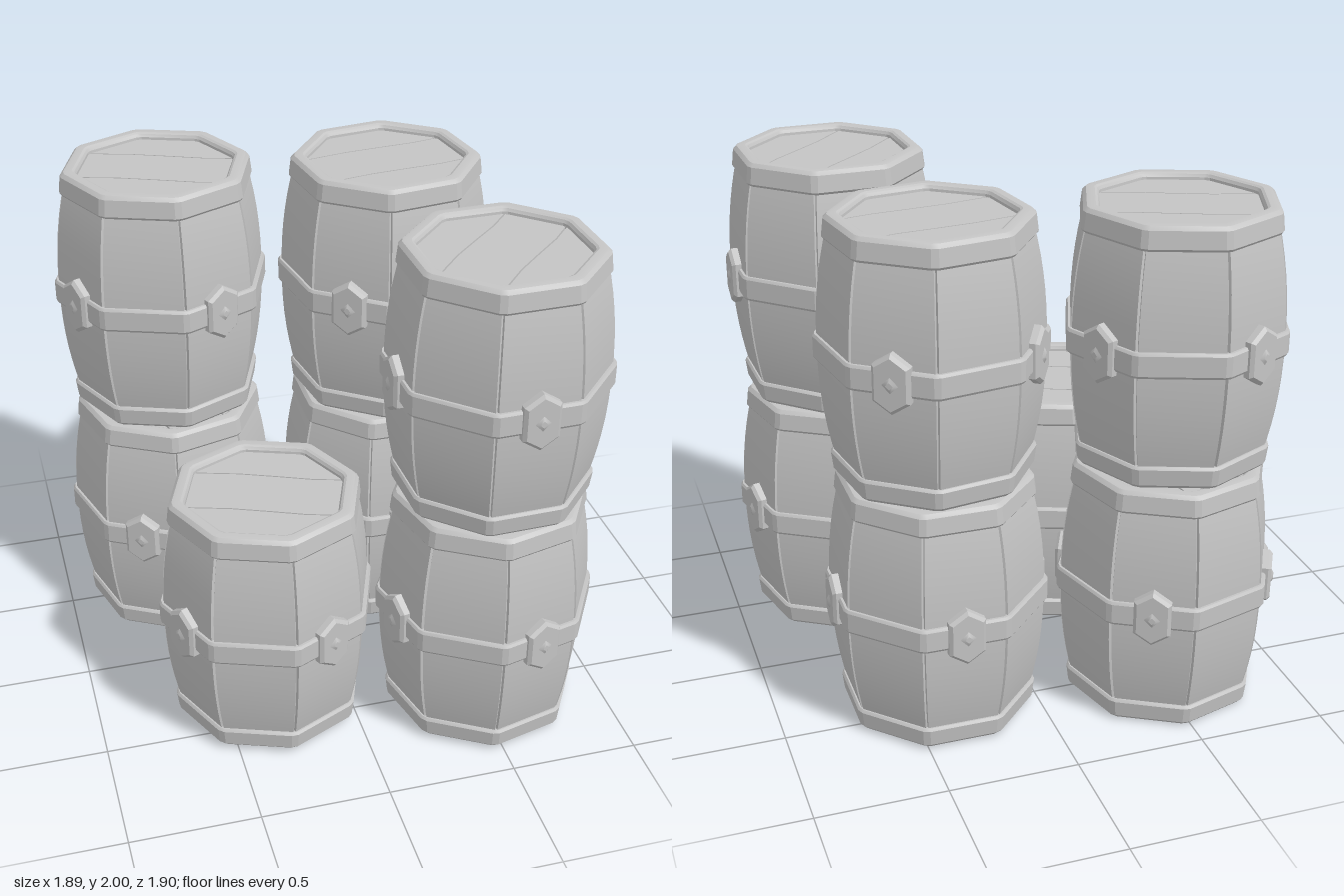
import * as THREE from 'three';
import { toCreasedNormals } from 'three/addons/utils/BufferGeometryUtils.js';

const H = 0.99, MID = 0.5, SIDES = 8, STEP = Math.PI / 4;

const grey = new THREE.MeshStandardMaterial({ color: 0xc4c4c4 });
grey.name = 'grey';

const mesh = (name, geometry) => {
  const m = new THREE.Mesh(geometry, grey);
  m.name = name;
  return m;
};

// Unit octagon with each corner cut; an optional groove is notched into the corner.
function octagon(cut, groove = 0) {
  const points = [];
  const corner = i => {
    const a = (i + 0.5) * STEP;
    return new THREE.Vector2(Math.cos(a), Math.sin(a));
  };
  for (let i = 0; i < SIDES; i++) {
    const c = corner(i);
    points.push(c.clone().lerp(corner(i - 1), cut));
    if (groove) points.push(c.clone().multiplyScalar(1 - groove));
    points.push(c.clone().lerp(corner(i + 1), cut));
  }
  return points;
}

// Sweep a profile of [radius, y] pairs (running upwards on the outside) round a section.
function loft(profile, section) {
  const n = section.length, pos = [], index = [];
  for (const [r, y] of profile) for (const p of section) pos.push(p.x * r, y, p.y * r);
  for (let i = 0; i < profile.length - 1; i++) {
    for (let j = 0; j < n; j++) {
      const a = i * n + j, d = i * n + (j + 1) % n;
      index.push(a, a + n, d + n, a, d + n, d);
    }
  }
  const g = new THREE.BufferGeometry();
  g.setAttribute('position', new THREE.Float32BufferAttribute(pos, 3));
  g.setIndex(index);
  return toCreasedNormals(g, 0.35);
}

// Bulging body of eight staves with grooved seams
function staveGeometry() {
  const profile = [];
  for (let i = 0; i <= 14; i++) {
    const u = i / 7 - 1;
    profile.push([0.36 + 0.055 * (1 - Math.abs(u) ** 2.2), MID + u * 0.45]);
  }
  return loft(profile, octagon(0.02, 0.03));
}

// Rounded end hoop, built for the top end
function rimGeometry() {
  const profile = [
    [0.345, H - 0.09], [0.376, H - 0.09], [0.384, H - 0.08], [0.376, H - 0.016],
    [0.362, H - 0.002], [0.35, H], [0.328, H], [0.318, H - 0.005],
    [0.311, H - 0.016], [0.308, H - 0.045],
  ];
  return loft(profile, octagon(0.05));
}

// Hoop round the belly
function bandGeometry() {
  return loft([
    [0.4, MID - 0.048], [0.424, MID - 0.048], [0.431, MID - 0.038],
    [0.431, MID + 0.038], [0.424, MID + 0.048], [0.4, MID + 0.048],
  ], octagon(0.04));
}

const polygon = pts => new THREE.Shape(pts.map(([x, y]) => new THREE.Vector2(x, y)));

// Three planks filling the end, with gently bowed seams
function plankGeometries() {
  const w = 0.288, s = 0.119, gap = 0.003;
  const seam = (y, side) => [-1, -0.4, 0.1, 0.6, 1].map((t, i) =>
    [t * w, y + side * gap + [0, 0.008, 0.002, -0.006, 0][i]]);
  const lower = seam(-s, -1), upper = seam(s, 1);
  const shapes = [
    polygon([[-s, -w], [s, -w], ...lower.reverse()]),
    polygon([...seam(-s, 1), ...seam(s, -1).reverse()]),
    polygon([...upper, [s, w], [-s, w]]),
  ];
  return shapes.map(shape => new THREE.ExtrudeGeometry(shape, {
    depth: 0.02, bevelEnabled: false,
  }).rotateX(-Math.PI / 2));
}

// Six-sided plate with a small raised diamond
function plateGeometry() {
  const hex = polygon([[0, -0.098], [0.058, -0.06], [0.058, 0.06], [0, 0.098], [-0.058, 0.06], [-0.058, -0.06]]);
  return new THREE.ExtrudeGeometry(hex, {
    depth: 0.035, bevelThickness: 0.012, bevelSize: 0.012, bevelSegments: 1,
  });
}

function createParts() {
  return {
    staves: staveGeometry(),
    rim: rimGeometry(),
    band: bandGeometry(),
    planks: plankGeometries(),
    backing: new THREE.CylinderGeometry(0.33, 0.33, H - 0.084, SIDES).rotateY(STEP / 2),
    plate: plateGeometry(),
    diamond: new THREE.CylinderGeometry(0.014, 0.032, 0.009, 4).rotateX(Math.PI / 2),
  };
}

function createBarrel(parts) {
  const barrel = new THREE.Group();
  barrel.add(mesh('staves', parts.staves), mesh('band', parts.band));

  const backing = mesh('endBacking', parts.backing);
  backing.position.y = H / 2;
  barrel.add(backing);

  // Both ends: the lower one is turned over with its planks at right angles
  for (const name of ['topEnd', 'bottomEnd']) {
    const end = new THREE.Group();
    end.name = name;
    end.add(mesh('rim', parts.rim));
    for (const g of parts.planks) {
      const plank = mesh('plank', g);
      plank.position.y = H - 0.046;
      end.add(plank);
    }
    if (name === 'bottomEnd') {
      end.rotation.set(Math.PI, Math.PI / 2, 0);
      end.position.y = H;
    }
    barrel.add(end);
  }

  // Four plates on the band
  for (let i = 0; i < 4; i++) {
    const fitting = new THREE.Group();
    fitting.name = 'bandPlate';
    const plate = mesh('plate', parts.plate);
    plate.position.z = 0.372;
    const diamond = mesh('diamond', parts.diamond);
    diamond.position.z = 0.4225;
    fitting.add(plate, diamond);
    fitting.position.y = MID;
    fitting.rotation.y = STEP + i * Math.PI / 2;
    barrel.add(fitting);
  }
  return barrel;
}

export function createModel() {
  const model = new THREE.Group();
  model.name = 'barrelStack';
  const parts = createParts();

  // name, x, base height, z, turn in degrees
  const layout = [
    ['backRightLowerBarrel', -0.52, 0, -0.53, 74],
    ['backRightUpperBarrel', -0.52, 1.01, -0.53, 20],
    ['backLeftLowerBarrel', 0.365, 0.005, -0.395, -45],
    ['backLeftUpperBarrel', 0.365, 1.005, -0.395, -9],
    ['frontRightBarrel', -0.31, 0.015, 0.325, 20],
    ['frontLeftLowerBarrel', 0.52, 0.01, 0.515, -59],
    ['frontLeftUpperBarrel', 0.52, 1.01, 0.515, -47],
  ];
  for (const [name, x, y, z, turn] of layout) {
    const barrel = createBarrel(parts);
    barrel.name = name;
    barrel.position.set(x, y, z);
    barrel.rotation.y = -THREE.MathUtils.degToRad(turn);
    model.add(barrel);
  }
  return model;
}
